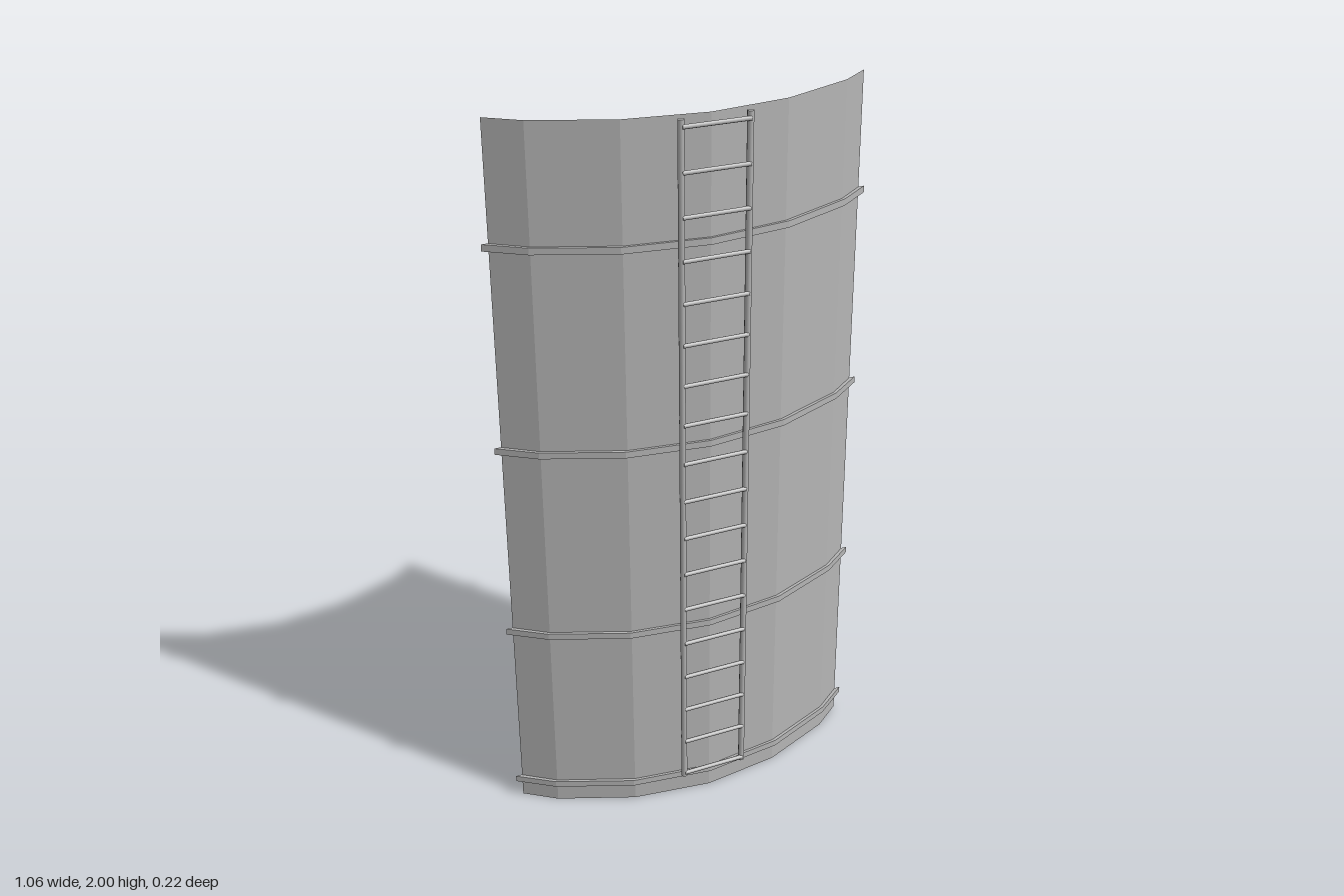
import * as THREE from 'three';

export function createModel() {
  const model = new THREE.Group();
  const grey = new THREE.MeshStandardMaterial({ color: 0xb6b6b6, side: THREE.DoubleSide });
  grey.name = 'tank grey';

  const add = (name, geometry, x = 0, y = 0, z = 0, parent = model) => {
    const mesh = new THREE.Mesh(geometry, grey);
    mesh.name = name;
    mesh.position.set(x, y, z);
    parent.add(mesh);
    return mesh;
  };

  // Mirror half an arc (from the middle outwards) into a full one
  const mirror = (half) => [
    ...half.slice(1).reverse().map(([x, z]) => [-x, z]),
    ...half,
  ];
  const wallArc = mirror([[0, 0.07], [0.22, 0.04], [0.426, -0.046], [0.51, -0.11]]);
  const bandArc = mirror([[0, 0.077], [0.227, 0.047], [0.432, -0.04], [0.528, -0.111]]);

  // Faceted upright sheet following an arc, open at the back
  const sheet = (arc, height) => {
    const pos = [];
    for (let i = 0; i < arc.length - 1; i++) {
      const [x0, z0] = arc[i], [x1, z1] = arc[i + 1];
      pos.push(x0, 0, z0, x1, 0, z1, x1, height, z1);
      pos.push(x0, 0, z0, x1, height, z1, x0, height, z0);
    }
    const g = new THREE.BufferGeometry();
    g.setAttribute('position', new THREE.Float32BufferAttribute(pos, 3));
    g.computeVertexNormals();
    return g;
  };

  // Flat plate filling the arc, facing up or down
  const plate = (arc, up) => {
    const shape = new THREE.Shape(arc.map(([x, z]) => new THREE.Vector2(x, up ? -z : z)));
    return new THREE.ShapeGeometry(shape).rotateX(up ? -Math.PI / 2 : Math.PI / 2);
  };

  // Curved wall with a closed floor
  add('wall', sheet(wallArc, 2));
  add('floor', plate(wallArc, false));

  // Hoops: a rim with a plate above and below
  const bandHeight = 0.018;
  for (const y of [0.05, 0.558, 1.115, 1.671]) {
    const hoop = new THREE.Group();
    hoop.name = 'hoop';
    hoop.position.y = y;
    add('hoopRim', sheet(bandArc, bandHeight), 0, 0, 0, hoop);
    add('hoopTop', plate(bandArc, true), 0, bandHeight, 0, hoop);
    add('hoopBottom', plate(bandArc, false), 0, 0, 0, hoop);
    model.add(hoop);
  }

  // Ladder rails and rungs
  const ladder = new THREE.Group();
  ladder.name = 'ladder';
  model.add(ladder);
  const rail = new THREE.CylinderGeometry(0.009, 0.009, 1.92, 8);
  for (const x of [-0.09, 0.09]) add('ladderRail', rail, x, 1.04, 0.096, ladder);
  const rung = new THREE.CylinderGeometry(0.006, 0.006, 0.18, 8).rotateZ(Math.PI / 2);
  for (let i = 0; i < 18; i++) add('ladderRung', rung, 0, 0.092 + i * 0.1112, 0.102, ladder);

  return model;
}
